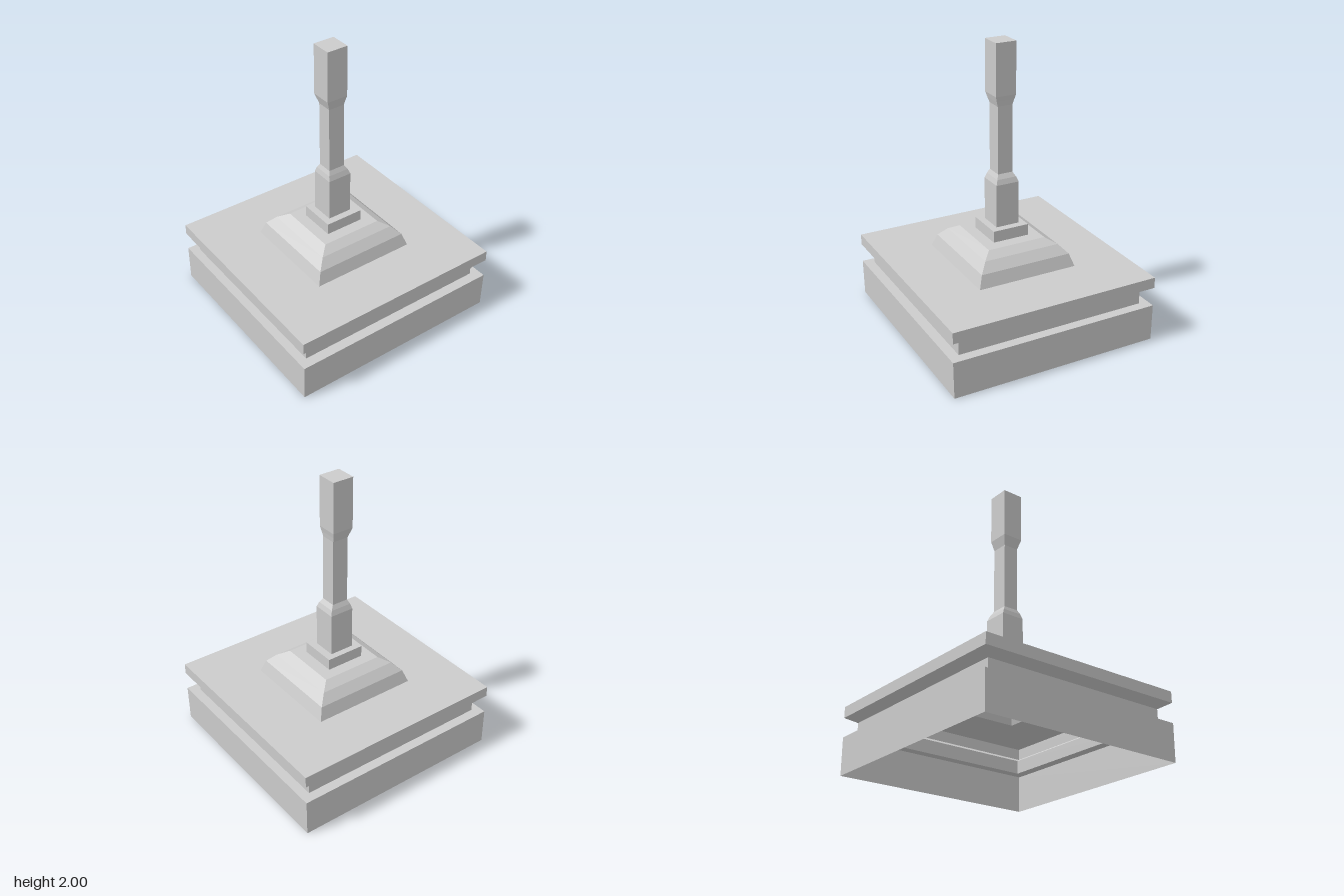
import * as THREE from 'three';

const material = new THREE.MeshStandardMaterial({
  color: 0xcccccc, flatShading: true, side: THREE.DoubleSide,
});

// Rectangular loft through sections [y, xMin, xMax, zMin, zMax], optionally capped on top
function loft(name, sections, capped = false) {
  const positions = [];
  const rings = sections.map(([y, x0, x1, z0, z1]) => [
    [x0, y, z1], [x1, y, z1], [x1, y, z0], [x0, y, z0],
  ]);
  const quad = (a, b, c, d) => positions.push(...a, ...b, ...c, ...a, ...c, ...d);
  for (let i = 0; i < rings.length - 1; i++) {
    for (let k = 0; k < 4; k++) {
      const n = (k + 1) % 4;
      quad(rings[i][k], rings[i][n], rings[i + 1][n], rings[i + 1][k]);
    }
  }
  if (capped) quad(...rings[rings.length - 1]);
  const geometry = new THREE.BufferGeometry();
  geometry.setAttribute('position', new THREE.Float32BufferAttribute(positions, 3));
  geometry.computeVertexNormals();
  const mesh = new THREE.Mesh(geometry, material);
  mesh.name = name;
  return mesh;
}

export function createModel() {
  const group = new THREE.Group();
  group.name = 'pedestalWithPost';

  // Shared sections where one hollow part meets the next
  const neckFoot = [0.26, -0.68, 0.67, -0.70, 0.705];
  const neckTop = [0.355, -0.68, 0.67, -0.70, 0.705];
  const domeFoot = [0.472, -0.365, 0.355, -0.375, 0.377];
  const domeTop = [0.658, -0.215, 0.208, -0.22, 0.22];
  const postFoot = [0.738, -0.09, 0.077, -0.082, 0.092];

  group.add(
    // Open-bottomed base with its ledge
    loft('base', [
      [0, -0.747, 0.735, -0.765, 0.767],
      [0.26, -0.747, 0.74, -0.767, 0.767],
      neckFoot,
    ]),
    loft('recessedNeck', [neckFoot, neckTop]),
    // Flared slab around the dome
    loft('slab', [
      neckTop,
      [0.395, -0.747, 0.74, -0.77, 0.77],
      [0.472, -0.747, 0.74, -0.77, 0.77],
      domeFoot,
    ]),
    // Square dome
    loft('dome', [
      domeFoot,
      [0.56, -0.335, 0.325, -0.345, 0.345],
      [0.62, -0.28, 0.27, -0.287, 0.287],
      domeTop,
    ]),
    // Collar under the post
    loft('collar', [
      domeTop,
      [0.658, -0.135, 0.127, -0.135, 0.14],
      [0.738, -0.135, 0.127, -0.135, 0.14],
      postFoot,
    ]),
    // Post with a narrow middle and a square head
    loft('post', [
      postFoot,
      [1.04, -0.09, 0.077, -0.082, 0.092],
      [1.075, -0.077, 0.064, -0.069, 0.083],
      [1.105, -0.06, 0.048, -0.048, 0.07],
      [1.575, -0.06, 0.048, -0.045, 0.071],
      [1.61, -0.07, 0.058, -0.05, 0.083],
      [1.645, -0.08, 0.067, -0.057, 0.095],
      [2, -0.08, 0.067, -0.057, 0.095],
    ], true),
  );
  return group;
}
